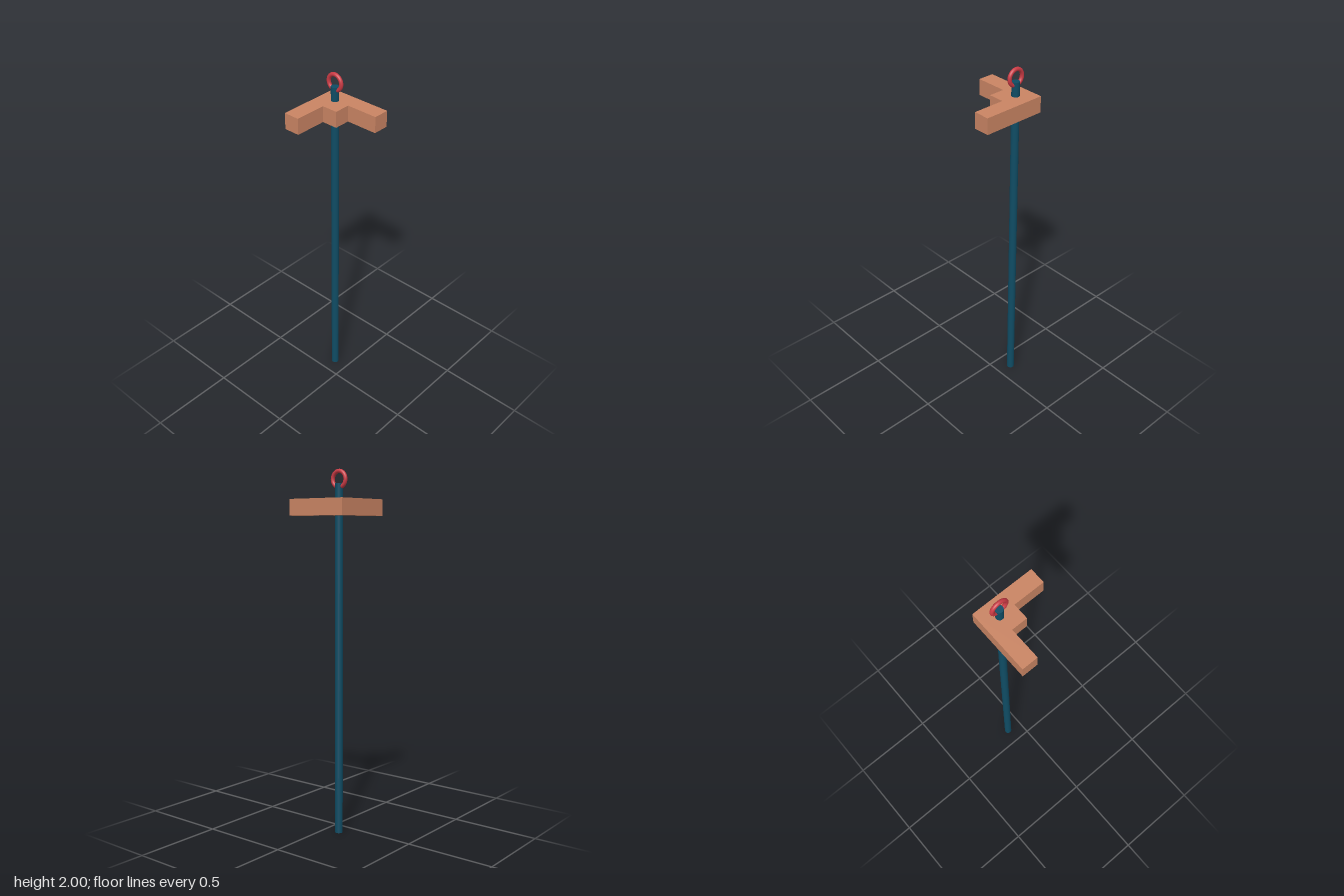
import * as THREE from 'three';

const AXIS = -0.0905; // pole position on both x and z

function addPart(group, name, geometry, color) {
  const mesh = new THREE.Mesh(geometry, new THREE.MeshStandardMaterial({ color }));
  mesh.name = name;
  group.add(mesh);
  return mesh;
}

export function createModel() {
  const group = new THREE.Group();
  group.name = 'hangingPole';

  // Long round pole
  const poleHeight = 1.925;
  const pole = addPart(group, 'pole',
    new THREE.CylinderGeometry(0.0215, 0.0215, poleHeight, 32), 0x0f4c64);
  pole.position.set(AXIS, poleHeight / 2, AXIS);

  // Stepped L-shaped corner block, outlined in plan as (x, z)
  const w = 0.181, h = w / 2;
  const outline = [[-w, w], [-h, w], [-h, 0], [0, 0], [0, -h], [w, -h], [w, -w], [-w, -w]];
  const shape = new THREE.Shape(outline.map(([x, z]) => new THREE.Vector2(x, -z)));
  const blockGeometry = new THREE.ExtrudeGeometry(shape, { depth: 0.09, bevelEnabled: false });
  blockGeometry.rotateX(-Math.PI / 2);
  const block = addPart(group, 'cornerBlock', blockGeometry, 0xc98463);
  block.position.y = 1.757;

  // Upright ring at the pole top
  const ringRadius = 0.0425, tubeRadius = 0.011;
  const ring = addPart(group, 'topRing',
    new THREE.TorusGeometry(ringRadius, tubeRadius, 16, 48), 0xc93a44);
  ring.position.set(AXIS, 2 - ringRadius - tubeRadius, AXIS);

  return group;
}
